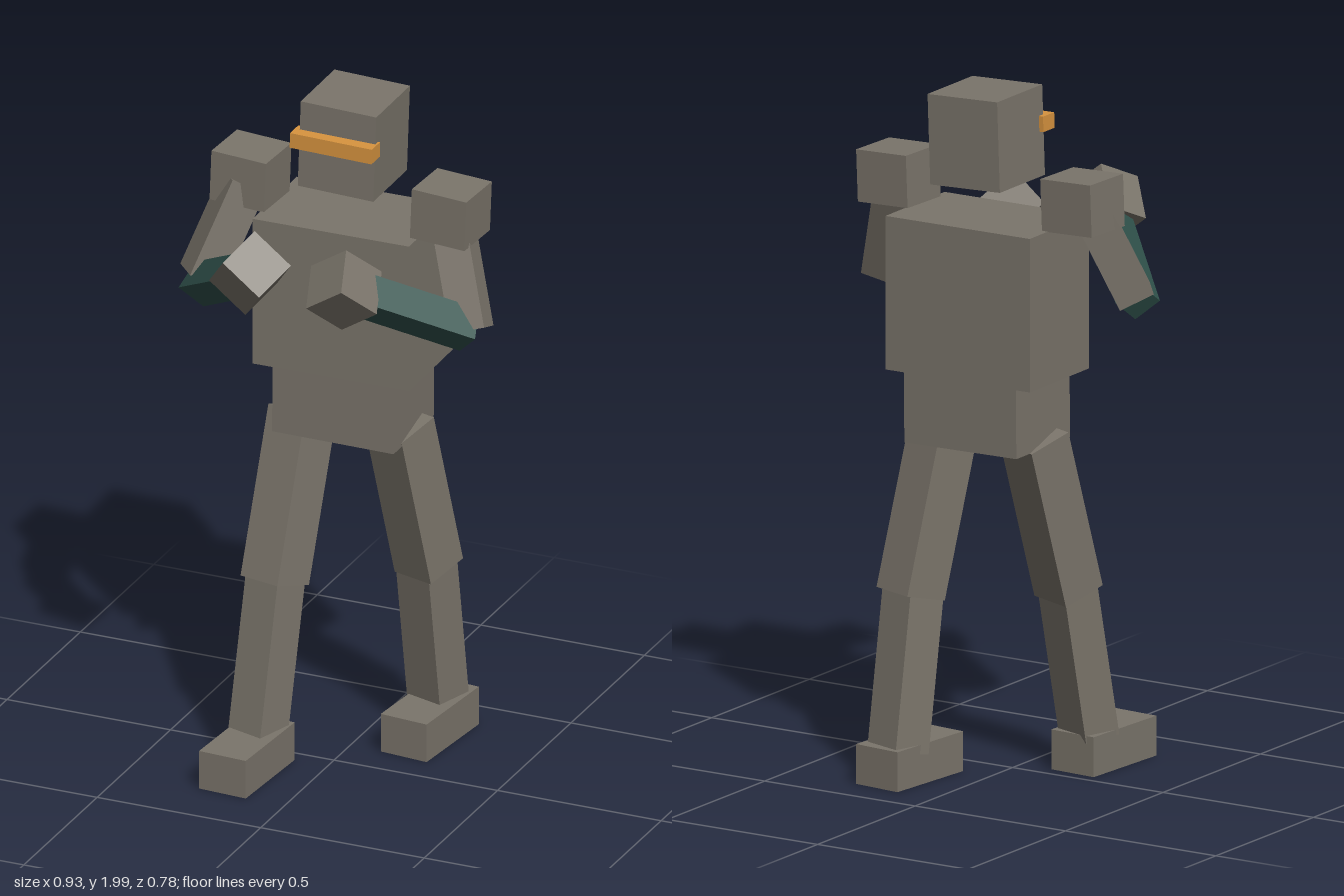
import * as THREE from 'three';

const V = (p) => new THREE.Vector3(...p);

export function createModel() {
  const model = new THREE.Group();
  model.name = 'blockRobot';

  const paint = (name, color) => {
    const m = new THREE.MeshStandardMaterial({ color });
    m.name = name;
    return m;
  };
  const grey = paint('warm grey', 0x7b756b);
  const teal = paint('dark teal', 0x30524c);
  const amber = paint('amber', 0xd8943f);

  // Upright block: size, centre and small turns
  function block(name, mat, size, centre, yaw = 0, roll = 0) {
    const mesh = new THREE.Mesh(new THREE.BoxGeometry(...size), mat);
    mesh.name = name;
    mesh.position.set(...centre);
    mesh.rotation.set(0, yaw, roll);
    model.add(mesh);
  }

  // Block stretched from point a to point b; side says where its x axis points
  function limb(name, mat, a, b, width, depth, side) {
    const start = V(a), end = V(b);
    const y = end.clone().sub(start);
    const length = y.length();
    y.normalize();
    const x = V(side);
    x.addScaledVector(y, -x.dot(y)).normalize();
    const z = x.clone().cross(y);
    const mesh = new THREE.Mesh(new THREE.BoxGeometry(width, length, depth), mat);
    mesh.name = name;
    mesh.quaternion.setFromRotationMatrix(new THREE.Matrix4().makeBasis(x, y, z));
    mesh.position.copy(start).add(end).multiplyScalar(0.5);
    model.add(mesh);
  }

  // Fist: cube around a centre, pointing along dir
  function fist(name, centre, dir, side) {
    const half = V(dir).setLength(0.07), c = V(centre);
    limb(name, grey, c.clone().sub(half).toArray(), c.clone().add(half).toArray(), 0.14, 0.14, side);
  }

  // Head and body
  block('head', grey, [0.23, 0.26, 0.235], [0, 1.857, -0.135], 0.01, -0.035);
  block('visor', amber, [0.25, 0.045, 0.057], [-0.002, 1.88, -0.01], 0, -0.02);
  block('torso', grey, [0.475, 0.443, 0.31], [-0.003, 1.402, -0.135], 0.015, 0);
  block('pelvis', grey, [0.37, 0.21, 0.28], [-0.001, 1.08, -0.133], 0.01, -0.01);

  // Shoulders
  block('rightShoulder', grey, [0.17, 0.15, 0.16], [-0.307, 1.7, -0.115], -0.04, -0.04);
  block('leftShoulder', grey, [0.17, 0.15, 0.16], [0.307, 1.697, -0.112], -0.04, -0.04);

  // Right arm
  limb('rightUpperArm', grey, [-0.315, 1.68, -0.09], [-0.4, 1.415, 0.01], 0.105, 0.105, [0.6, 0, 0.8]);
  limb('rightForearm', teal, [-0.4, 1.395, 0.025], [-0.16, 1.56, 0.25], 0.09, 0.09, [0.36, 0.89, -1.03]);
  fist('rightFist', [-0.13, 1.585, 0.283], [0.53, 0.69, 0.51], [-0.032, -0.041, 0.131]);

  // Left arm
  limb('leftUpperArm', grey, [0.31, 1.67, -0.115], [0.41, 1.385, -0.025], 0.1, 0.1, [1, 0, -0.14]);
  limb('leftForearm', teal, [0.405, 1.385, -0.02], [0.15, 1.53, 0.175], 0.095, 0.095, [0.96, 0.9, 0.51]);
  fist('leftFist', [0.12, 1.545, 0.2], [-0.51, 0.62, 0.6], [0.03, -0.074, 0.116]);

  // Striding legs: right forward, left back
  const legSide = [0.955, 0, 0.296];
  limb('rightThigh', grey, [-0.15, 1.0, -0.12], [-0.17, 0.53, 0.025], 0.135, 0.14, legSide);
  limb('rightShin', grey, [-0.17, 0.54, 0.02], [-0.183, 0.09, 0.112], 0.118, 0.12, legSide);
  block('rightFoot', grey, [0.147, 0.115, 0.295], [-0.183, 0.0575, 0.186], -0.06);
  limb('leftThigh', grey, [0.14, 1.0, -0.135], [0.18, 0.53, -0.245], 0.135, 0.14, legSide);
  limb('leftShin', grey, [0.175, 0.54, -0.24], [0.18, 0.09, -0.31], 0.122, 0.122, legSide);
  block('leftFoot', grey, [0.147, 0.115, 0.295], [0.182, 0.0575, -0.247], -0.095);

  return model;
}
